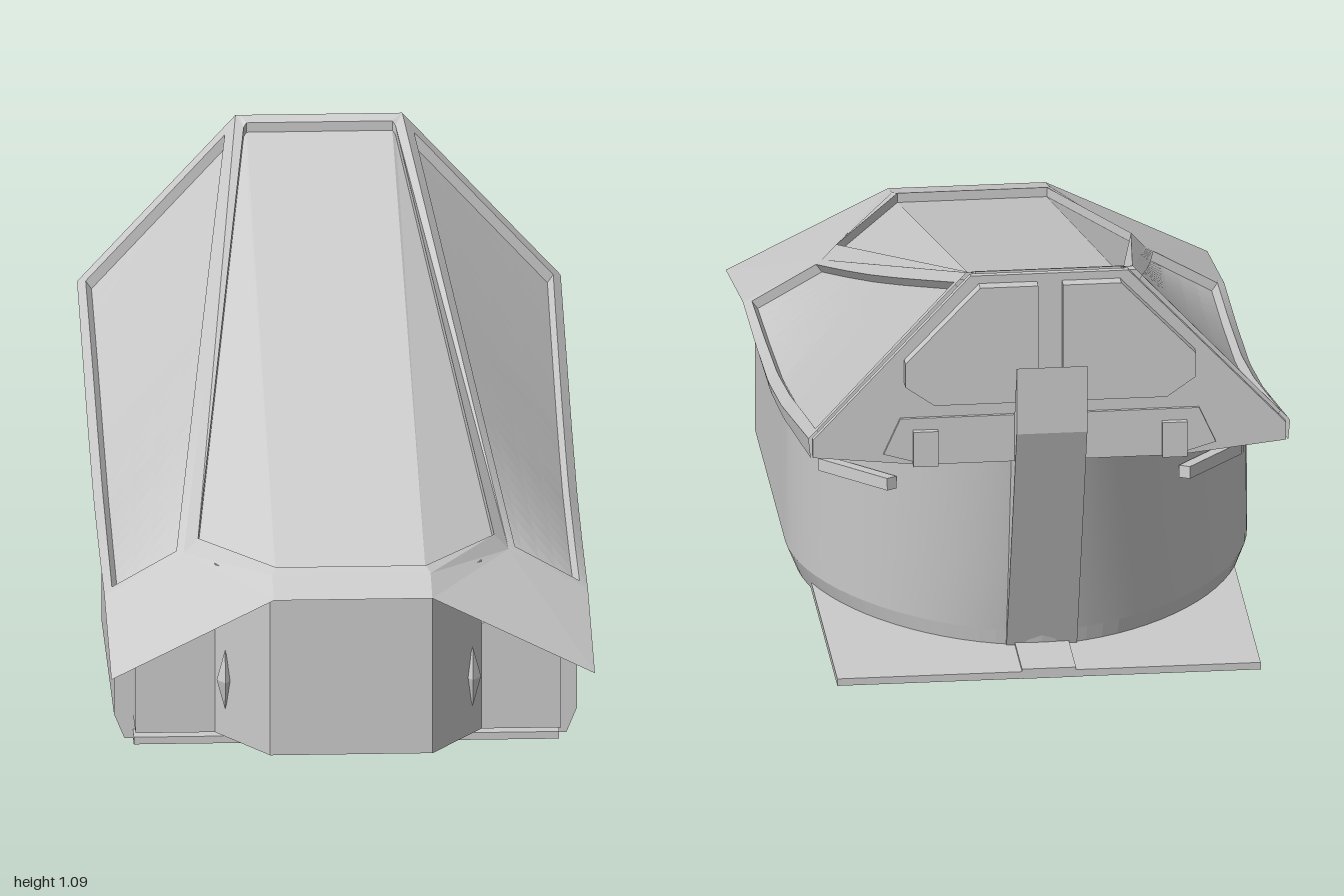
import * as THREE from 'three';

const flat = new THREE.MeshStandardMaterial({ color: 0xcccccc, flatShading: true, side: THREE.DoubleSide });
const smooth = new THREE.MeshStandardMaterial({ color: 0xcccccc, side: THREE.DoubleSide });
const lerp = THREE.MathUtils.lerp;
const V = (x, y, z) => new THREE.Vector3(x, y, z);

function add(parent, name, geo, mat = flat) {
  const m = new THREE.Mesh(geo, mat);
  m.name = name;
  parent.add(m);
  return m;
}

function box(parent, name, w, h, d, x, y, z) {
  const m = add(parent, name, new THREE.BoxGeometry(w, h, d));
  m.position.set(x, y, z);
  return m;
}

// Surface through rows of points
function loft(rows) {
  const n = rows[0].length, index = [];
  for (let i = 0; i < rows.length - 1; i++)
    for (let j = 0; j < n - 1; j++) {
      const a = i * n + j, b = a + n;
      index.push(a, b, a + 1, b, b + 1, a + 1);
    }
  const g = new THREE.BufferGeometry().setFromPoints(rows.flat());
  g.setIndex(index);
  g.computeVertexNormals();
  return g;
}

const poly = pts => new THREE.Shape(pts.map(p => new THREE.Vector2(...p)));
const mirrored = pts => [...pts, ...pts.map(([x, y]) => [-x, y]).reverse()];
const prism = (pts, depth) => new THREE.ExtrudeGeometry(poly(pts), { depth, bevelEnabled: false });

// Eave height along z
const EAVE = [[0.6, 0.41], [0.3, 0.422], [0, 0.447], [-0.3, 0.51], [-0.6, 0.592], [-0.94, 0.685]];
function eaveY(z) {
  for (let i = 1; i < EAVE.length; i++) {
    const [z0, y0] = EAVE[i - 1], [z1, y1] = EAVE[i];
    if (z >= z1) return lerp(y0, y1, (z - z0) / (z1 - z0));
  }
  return 0.685;
}

// Side of the roof: ruled from ridge frame (v = 0) to eave (v = 1)
function sidePoint(u, v, sunk) {
  const z = lerp(0.6, -0.94, u);
  const p = V(lerp(0.39, 0.2, u), lerp(0.512, 1.1, u), z).lerp(V(0.58, eaveY(z), z), v);
  return sunk ? p.add(V(-0.014, -0.02, 0)) : p;
}

function sideSurface() {
  const N = 24, rows = [];
  const us = [[0, 0], [0.016, 0]];
  for (let i = 0; i <= N; i++) us.push([lerp(0.016, 0.978, i / N), 1]);
  us.push([0.978, 0], [1, 0]);
  for (const [u, inside] of us) {
    const v0 = lerp(0.1, 0.06, u), v1 = lerp(0.9, 0.95, u);
    const row = [sidePoint(u, 0), sidePoint(u, v0)];
    for (let j = 0; j <= 4; j++) row.push(sidePoint(u, lerp(v0, v1, j / 4), inside));
    row.push(sidePoint(u, v1), sidePoint(u, 1));
    const z = lerp(0.6, -0.94, u);
    row.push(V(0.575, eaveY(z) - lerp(0.008, 0.05, u), z));
    rows.push(row);
  }
  return loft(rows);
}

function buildRoof(root) {
  const roof = new THREE.Group();
  roof.name = 'roof';
  root.add(roof);
  // Top frame: outer and inner outlines, then the recessed panel
  const outer = [V(0.19, 1.1, -0.94), V(0.2, 1.1, -0.94), V(0.39, 0.512, 0.6), V(0.19, 0.555, 0.9)];
  const inner = [V(0.175, 1.09, -0.91), V(0.182, 1.082, -0.9), V(0.355, 0.55, 0.6), V(0.18, 0.565, 0.87)];
  const sunk = inner.map(p => p.clone().add(V(0, -0.024, 0)));
  const flip = pts => pts.map(p => V(-p.x, p.y, p.z)).reverse();
  const loop = pts => [...pts, ...flip(pts), pts[0]];
  add(roof, 'topFrame', loft([loop(outer), loop(inner), loop(sunk)]));
  const [c, , b, a] = sunk;
  const m = p => V(-p.x, p.y, p.z);
  add(roof, 'topPanel', loft([[m(c), c], [m(a), a]]));
  for (const s of [1, -1]) {
    const side = new THREE.Group();
    side.name = s > 0 ? 'leftRoofSide' : 'rightRoofSide';
    side.scale.x = s;
    roof.add(side);
    add(side, 'topPanelFacet', loft([[c, sunk[1]], [a, b]]));
    add(side, 'sidePanel', sideSurface());
    // Visor facets
    const F = V(0.19, 0.525, 1), E = V(0.58, 0.33, 1);
    add(side, 'visorCorner', loft([[outer[3], outer[2]], [F, E]]));
    add(side, 'visorWing', loft([[outer[2], V(0.58, 0.41, 0.6)], [E, E]]));
  }
  add(roof, 'visorCentre', loft([[V(-0.19, 0.555, 0.9), V(0.19, 0.555, 0.9)], [V(-0.19, 0.525, 1), V(0.19, 0.525, 1)]]));

  // Rear gable, beam and cover plates
  const gable = mirrored([[0.19, 1.09], [0.57, 0.68], [0.57, 0.635], [0.34, 0.61]]);
  add(roof, 'rearWall', prism(gable, 0.015)).position.z = -0.94;
  add(roof, 'rearBeam', prism(mirrored([[0.36, 0.73], [0.4, 0.64], [0.3, 0.61]]), 0.02)).position.z = -0.948;
  for (const s of [1, -1]) {
    const pts = [[0.03, 1.07], [0.17, 1.07], [0.35, 0.88], [0.35, 0.82], [0.28, 0.77], [0.03, 0.77]];
    add(roof, 'rearPlate', prism(pts.map(([x, y]) => [s * x, y]), 0.03)).position.z = -0.97;
    box(roof, 'rearTab', 0.06, 0.09, 0.025, s * 0.3, 0.655, -0.95);
  }
}

// Tub outline at height fraction h, going round the narrowing back
function tubRow(k, y, h) {
  const row = [], depth = 0.61 + 0.15 * h, e = 1.1 + 0.15 * h;
  const put = (x, z) => row.push(V(x * k, y ?? eaveY(z) - 0.02, z));
  for (let i = 0; i < 8; i++) put(0.555, lerp(0.55, -0.15, i / 8));
  for (let i = 0; i <= 40; i++) {
    const t = Math.PI * i / 40, c = Math.cos(t);
    put(0.555 * Math.sign(c) * Math.abs(c) ** e, -0.15 - depth * Math.abs(Math.sin(t)) ** e);
  }
  for (let i = 1; i <= 8; i++) put(-0.555, lerp(-0.15, 0.55, i / 8));
  return row;
}

function buildBody(root) {
  const body = new THREE.Group();
  body.name = 'body';
  root.add(body);
  add(body, 'tubWall', loft([tubRow(1, 0.095, 0.08), tubRow(1, 0.25, 0.36), tubRow(1, null, 1)]), smooth);
  add(body, 'tubFloor', loft([tubRow(0, 0.034, 0), tubRow(0.955, 0.034, 0), tubRow(1, 0.095, 0.08)]));
  add(body, 'tubFront', prism(mirrored([[0.53, 0.034], [0.555, 0.095], [0.555, 0.395], [0.38, 0.48]]), 0.02)).position.z = 0.54;

  // Nose, extruded upward from its plan
  const nose = prism(mirrored([[0.195, -0.9], [0.32, -0.72], [0.32, -0.5]]), 0.425);
  add(body, 'nose', nose.rotateX(-Math.PI / 2)).position.y = 0.1;

  for (const s of [1, -1]) {
    const side = new THREE.Group();
    side.name = s > 0 ? 'leftBodyParts' : 'rightBodyParts';
    side.scale.x = s;
    body.add(side);
    const fender = [[0.31, 0.1], [0.51, 0.1], [0.51, 0.33], [0.44, 0.375], [0.38, 0.395], [0.31, 0.36]];
    add(side, 'frontFender', prism(fender, 0.17)).position.z = 0.55;
    // Small diamond on the slanted nose cheek
    const diamond = add(side, 'noseDiamond', new THREE.OctahedronGeometry(1));
    diamond.scale.set(0.02, 0.075, 0.028);
    diamond.position.set(0.297, 0.245, 0.758);
    // Side handle below the eave
    const handle = box(side, 'sideHandle', 0.03, 0.03, 0.25, 0.425, 0.44, -0.575);
    handle.rotation.set(0.12, 0.62, 0);
    // Roller underneath
    const roller = add(side, 'roller', new THREE.CylinderGeometry(0.032, 0.032, 0.1, 16), smooth);
    roller.rotation.x = Math.PI / 2;
    roller.position.set(0.365, 0.038, -0.34);
  }
}

function buildBase(root) {
  const base = new THREE.Group();
  base.name = 'base';
  root.add(base);
  box(base, 'basePlate', 1.02, 0.018, 1.55, 0, 0.047, -0.155);
  box(base, 'rearStep', 0.13, 0.025, 0.2, 0, 0.05, -0.83);
  // Keel with bevelled sides
  add(base, 'keel', prism(mirrored([[0.1, 0.04], [0.1, 0.03], [0.065, 0.01]]), 0.5)).position.z = -0.07;

  // Leaning rear pillar, drawn in side profile
  const pillar = prism([[0.75, 0.03], [1, 0.7], [1, 0.87], [0.91, 0.62], [0.8, 0.62], [0.66, 0.03]], 0.17);
  pillar.rotateY(Math.PI / 2);
  add(base, 'rearPillar', pillar).position.x = -0.085;
}

export function createModel() {
  const root = new THREE.Group();
  root.name = 'pod';
  buildRoof(root);
  buildBody(root);
  buildBase(root);
  return root;
}
